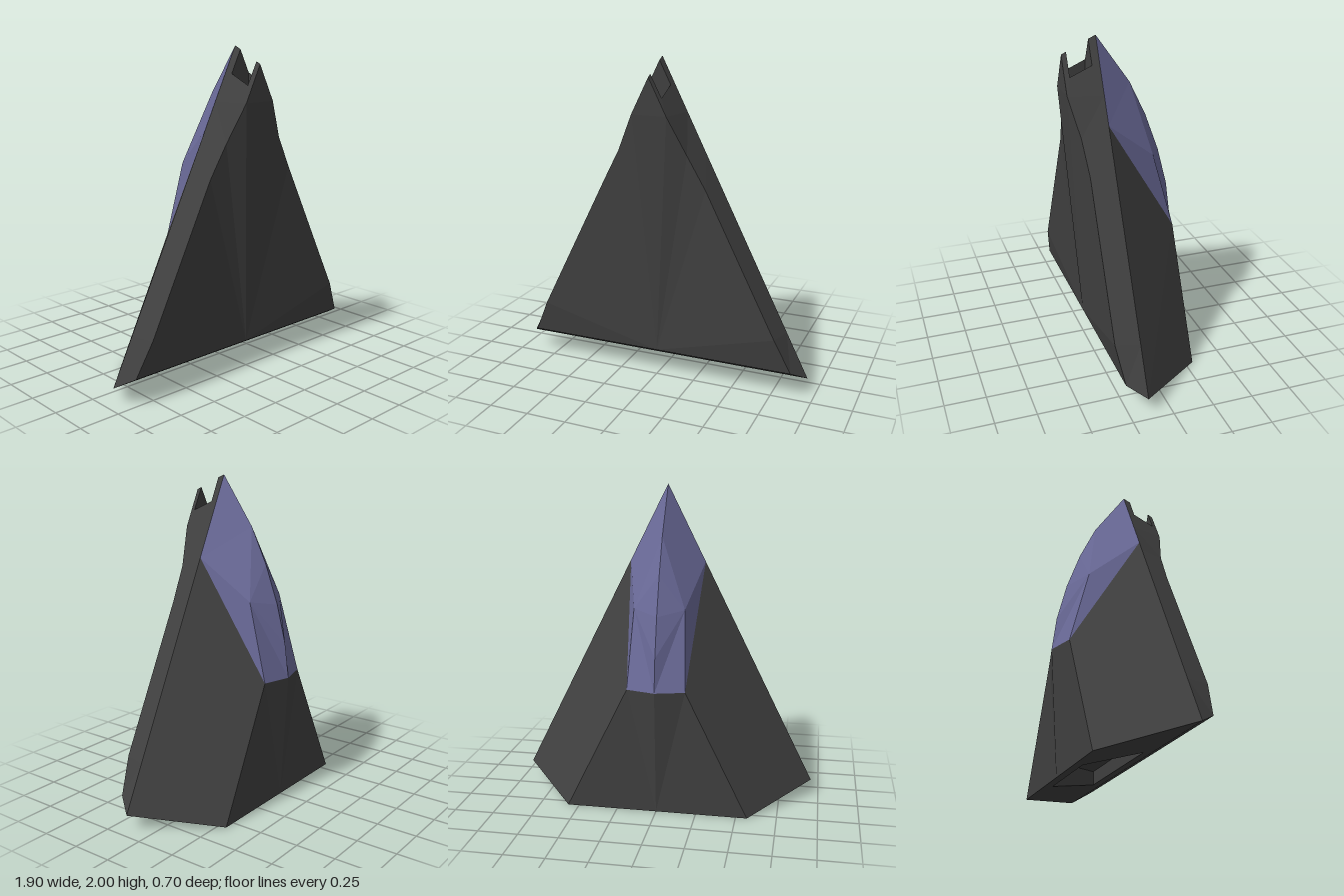
import * as THREE from 'three';

const HULL = 0x404040, GLASS = 0x6a6a98;
const INSIDE = [0, 0.7, 0];

// Builds mirrored flat panels from +x half polygons; faces point away from (or towards) a centre.
function panels(name, color, polygons, centre = INSIDE, inward = false) {
  const pos = [];
  const o = new THREE.Vector3(...centre);
  for (const poly of polygons) {
    for (let i = 1; i < poly.length - 1; i++) {
      for (const s of [1, -1]) {
        const [a, b, c] = [poly[0], poly[i], poly[i + 1]].map(p => new THREE.Vector3(p[0] * s, p[1], p[2]));
        const n = b.clone().sub(a).cross(c.clone().sub(a));
        const outward = n.dot(a.clone().sub(o)) > 0;
        const tri = outward !== inward ? [a, b, c] : [a, c, b];
        tri.forEach(v => pos.push(v.x, v.y, v.z));
      }
    }
  }
  const geo = new THREE.BufferGeometry();
  geo.setAttribute('position', new THREE.Float32BufferAttribute(pos, 3));
  geo.computeVertexNormals();
  const mesh = new THREE.Mesh(geo, new THREE.MeshStandardMaterial({ color, flatShading: true }));
  mesh.name = name;
  return mesh;
}

const centred = p => [0, p[1], p[2]];
const atHeight = (p, y) => [p[0], y, p[2]];

export function createModel() {
  const group = new THREE.Group();
  group.name = 'deltaShip';

  // Widest outline
  const nose = [0, 2, 0.14], wingTip = [0.95, 0.1, 0.14], canopyRim = [0.24, 1.52, 0.14];
  const rim = y => [0.5 * (2 - y), y, 0.14];

  // Belly edge from tail to nose
  const edge = [[0.87, 0.165, 0.25], [0.77, 0.38, 0.283], [0.33, 1.25, 0.283], [0.22, 1.45, 0.3], [0.11, 1.68, 0.35]];
  const bellyTip = [0, 1.9, 0.35], tailMid = centred(edge[0]), bellyTop = centred(edge[4]);

  // Nose port corners
  const w = 0.07;
  const h1 = [w, 1.84, 0.185], h2 = [w, 1.78, 0.32], q1 = [0, 1.98, 0.185], q2 = [0, 1.915, 0.32];

  // Back deck and canopy points
  const tail = [0.57, 0, -0.3], tailC = centred(tail);
  const deck = [0.18, 0.79, -0.3], shoulder = [0.157, 1.27, -0.17];
  const ridge = [[0, 1.7, -0.07], [0, 1.48, -0.175], [0, 1.24, -0.262], [0, 1.0, -0.323], [0, 0.79, -0.35]];

  // Belly plate fans out from the tail
  const belly = [];
  for (let i = 0; i < 4; i++) belly.push([tailMid, edge[i], edge[i + 1]]);
  belly.push([tailMid, edge[4], bellyTop], [bellyTop, edge[4], bellyTip]);
  group.add(panels('bellyPlate', HULL, belly));

  // Side walls between the outline and the belly edge, split around the nose port
  const p = edge.map((e, i) => (i ? rim(e[1]) : wingTip));
  const sides = [];
  for (let i = 0; i < 4; i++) sides.push([edge[i], p[i], p[i + 1], edge[i + 1]]);
  sides.push([edge[4], p[4], h2], [p[4], h1, h2], [p[4], nose, h1], [nose, q1, h1],
    [edge[4], h2, bellyTip], [h2, q2, bellyTip]);
  group.add(panels('sideWalls', HULL, sides));

  // Square port in the nose
  const floor = 1.6;
  const f1 = atHeight(h1, floor), f2 = atHeight(h2, floor);
  group.add(panels('nosePort', HULL, [
    [h1, h2, f2, f1],
    [q1, h1, f1, centred(f1)],
    [q2, h2, f2, centred(f2)],
    [f1, f2, centred(f2), centred(f1)],
  ], [0, 1.72, 0.25], true));

  // Sloped back panels and the tail deck
  group.add(panels('backPanels', HULL, [
    [wingTip, canopyRim, deck, tail],
    [tail, deck, tailC],
    [deck, ridge[4], tailC],
  ]));

  // Canopy
  group.add(panels('canopy', GLASS, [
    [nose, canopyRim, ridge[0]],
    [canopyRim, shoulder, ridge[0]],
    [canopyRim, deck, shoulder],
    [shoulder, ...ridge, deck],
  ]));

  // Underside framing the engine recess
  const e1 = [0.38, 0.085, 0.075], e2 = [0.25, 0.015, -0.235];
  group.add(panels('underside', HULL, [
    [wingTip, edge[0], tailMid, centred(wingTip)],
    [wingTip, centred(wingTip), centred(e1), e1],
    [wingTip, e1, e2, tail],
    [tail, e2, centred(e2), tailC],
  ]));

  // Engine recess
  const top = 0.17;
  const t1 = atHeight(e1, top), t2 = atHeight(e2, top);
  group.add(panels('engineRecess', HULL, [
    [e1, e2, t2, t1],
    [e1, centred(e1), centred(t1), t1],
    [e2, centred(e2), centred(t2), t2],
    [t1, t2, centred(t2), centred(t1)],
  ], [0, 0.1, -0.08], true));

  return group;
}
